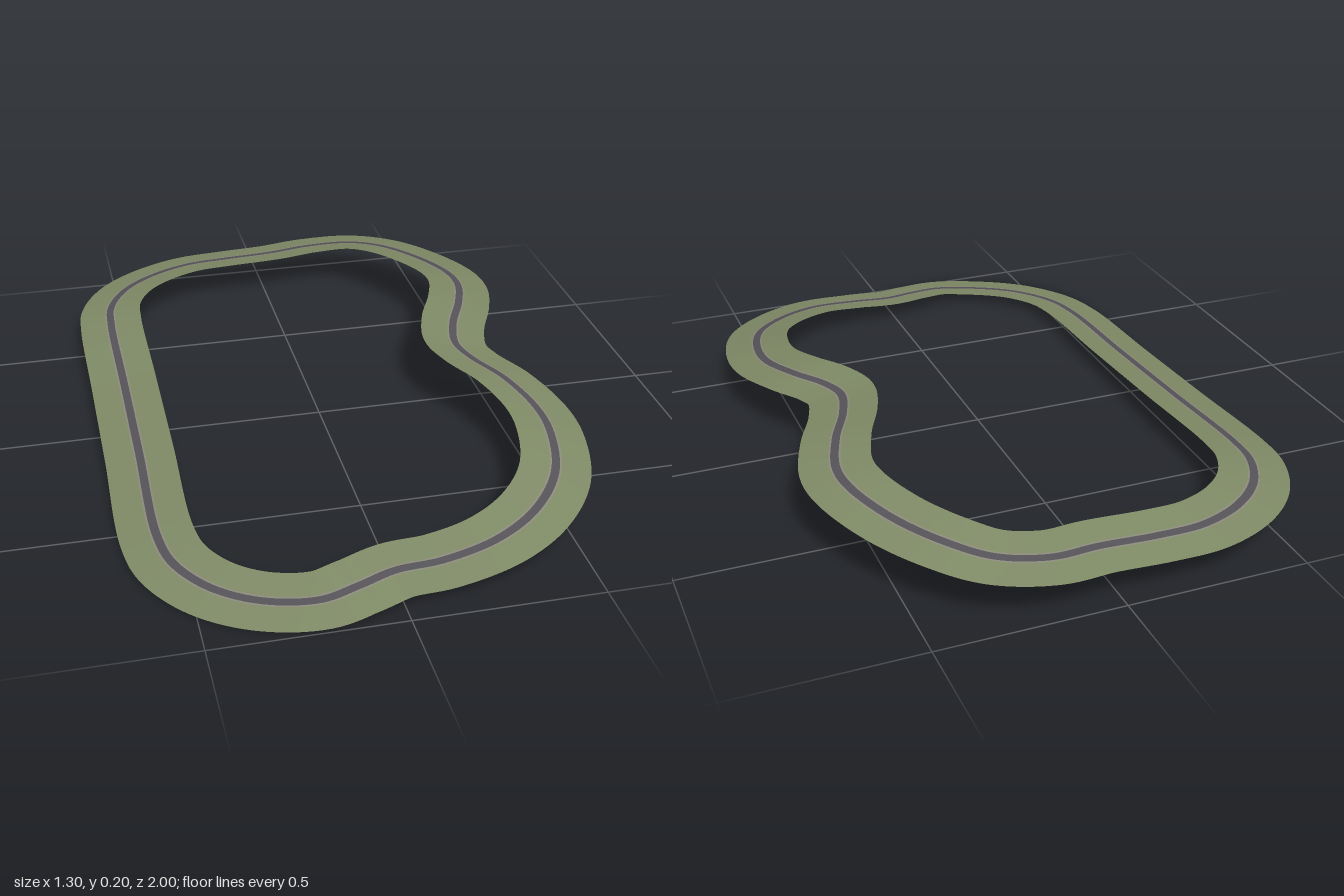
import * as THREE from 'three';

// Road centre line: x, height, z
const ROUTE = [
  [-0.552, 0.026, 0.56], [-0.525, 0.021, 0.68], [-0.445, 0.018, 0.795], [-0.33, 0.018, 0.87],
  [-0.2, 0.025, 0.902], [-0.1, 0.034, 0.88], [0, 0.042, 0.85], [0.12, 0.05, 0.847],
  [0.27, 0.067, 0.815], [0.4, 0.083, 0.735], [0.5, 0.104, 0.61], [0.545, 0.127, 0.45],
  [0.545, 0.14, 0.33], [0.5, 0.16, 0.185], [0.44, 0.17, 0.07], [0.418, 0.175, -0.015],
  [0.445, 0.18, -0.13], [0.505, 0.18, -0.265], [0.545, 0.173, -0.4], [0.54, 0.17, -0.5],
  [0.48, 0.16, -0.66], [0.39, 0.15, -0.795], [0.295, 0.136, -0.875], [0.165, 0.122, -0.906],
  [0.03, 0.115, -0.895], [-0.13, 0.108, -0.895], [-0.26, 0.104, -0.885], [-0.39, 0.1, -0.83],
  [-0.485, 0.098, -0.745], [-0.54, 0.096, -0.635], [-0.552, 0.093, -0.53], [-0.552, 0.07, -0.18],
  [-0.552, 0.048, 0.18],
].map((p) => new THREE.Vector3(...p));

const SEGMENTS = 360;
const BANK = 0.17; // rise per unit towards the inside of the circuit
const ROAD = 0.011, SHOULDER = 0.016, EDGE = 0.095; // half widths

export function createModel() {
  const group = new THREE.Group();
  group.name = 'raceCircuit';
  const curve = new THREE.CatmullRomCurve3(ROUTE, true, 'centripetal');
  const centres = curve.getSpacedPoints(SEGMENTS);
  const inward = centres.map((_, i) => {
    const t = curve.getTangentAt((i % SEGMENTS) / SEGMENTS);
    return new THREE.Vector3(t.z, 0, -t.x).normalize().setY(BANK);
  });

  // Closed ribbon between two sideways offsets from the centre line
  function ribbon(name, outer, inner, color) {
    const positions = [], index = [];
    for (let i = 0; i <= SEGMENTS; i++) {
      for (const offset of [outer, inner]) {
        positions.push(...centres[i].clone().addScaledVector(inward[i], offset).toArray());
      }
      if (i < SEGMENTS) {
        const a = i * 2;
        index.push(a, a + 2, a + 3, a, a + 3, a + 1);
      }
    }
    const geometry = new THREE.BufferGeometry();
    geometry.setAttribute('position', new THREE.Float32BufferAttribute(positions, 3));
    geometry.setIndex(index);
    geometry.computeVertexNormals();
    const material = new THREE.MeshStandardMaterial({ color, side: THREE.DoubleSide });
    const mesh = new THREE.Mesh(geometry, material);
    mesh.name = name;
    group.add(mesh);
  }

  ribbon('road', -ROAD, ROAD, 0x555358);
  ribbon('outerShoulder', -SHOULDER, -ROAD, 0x8c8a7c);
  ribbon('innerShoulder', ROAD, SHOULDER, 0x8c8a7c);
  ribbon('outerGrass', -EDGE, -SHOULDER, 0x7f8a66);
  ribbon('innerGrass', SHOULDER, EDGE, 0x7f8a66);
  return group;
}
